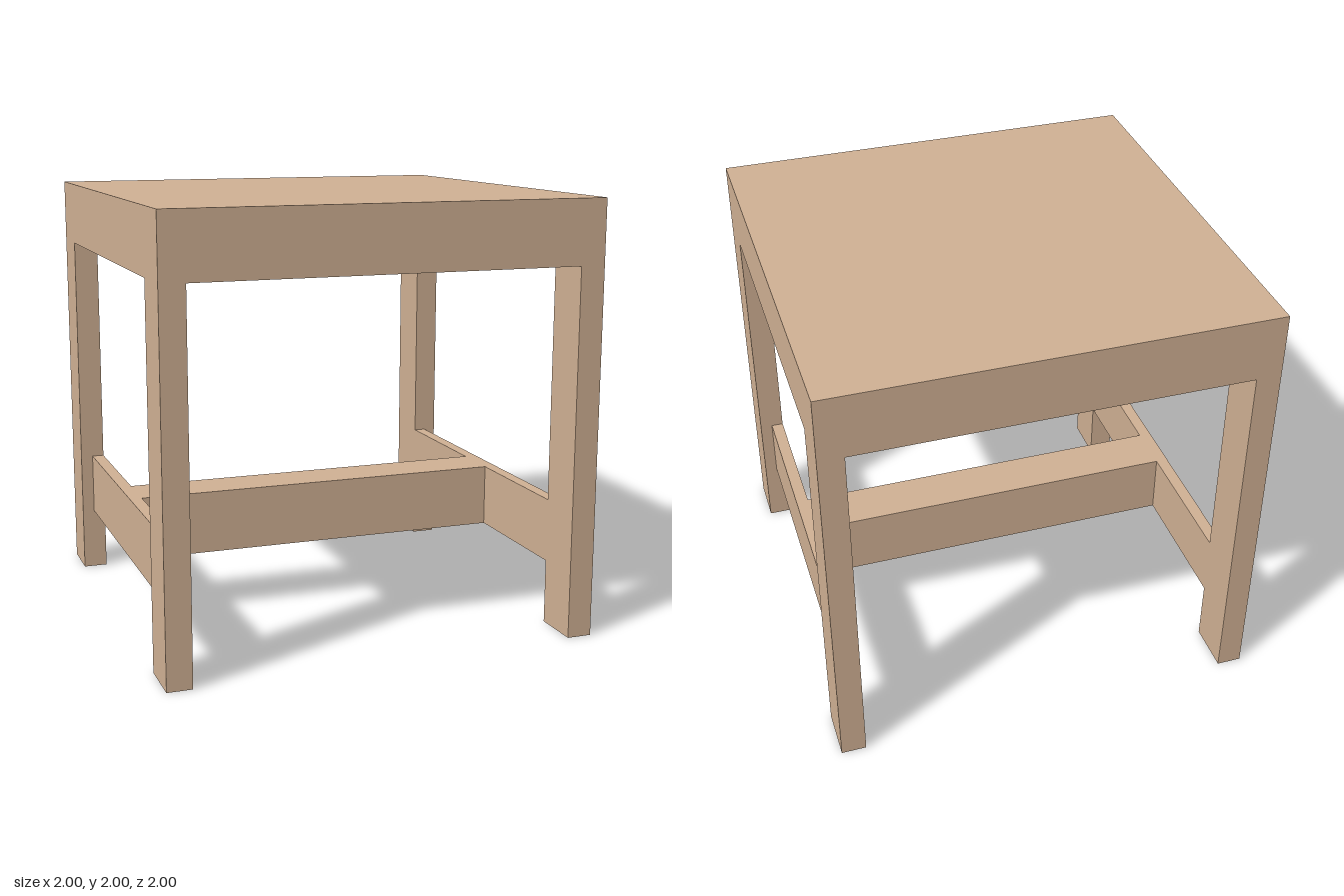
import * as THREE from 'three';

export function createModel() {
  const model = new THREE.Group();
  model.name = 'stool';
  const wood = new THREE.MeshStandardMaterial({ color: 0xd2b295 });

  // Box given by its minimum and maximum corners
  const block = (name, [x0, y0, z0], [x1, y1, z1]) => {
    const mesh = new THREE.Mesh(new THREE.BoxGeometry(x1 - x0, y1 - y0, z1 - z0), wood);
    mesh.position.set((x0 + x1) / 2, (y0 + y1) / 2, (z0 + z1) / 2);
    mesh.name = name;
    model.add(mesh);
  };

  const legX = 0.885, legZ = 0.77;     // inner faces of the legs
  const seatBottom = 1.705;
  const railLow = 0.3, railHigh = 0.595;
  const railX = 0.942;                 // outer face of the side rails

  // Solid thick seat
  block('seat', [-1, seatBottom, -1], [1, 2, 1]);

  // Four rectangular legs, flush with the seat corners
  for (const [side, x0, x1] of [['left', legX, 1], ['right', -1, -legX]]) {
    block(side + 'FrontLeg', [x0, 0, legZ], [x1, seatBottom, 1]);
    block(side + 'BackLeg', [x0, 0, -1], [x1, seatBottom, -legZ]);
  }

  // Side rails, flush with the inner faces of the legs
  block('leftRail', [legX, railLow, -legZ], [railX, railHigh, legZ]);
  block('rightRail', [-railX, railLow, -legZ], [-legX, railHigh, legZ]);

  // Middle stretcher joining the side rails
  block('stretcher', [-legX, railLow, -0.115], [legX, railHigh, 0.115]);

  return model;
}
